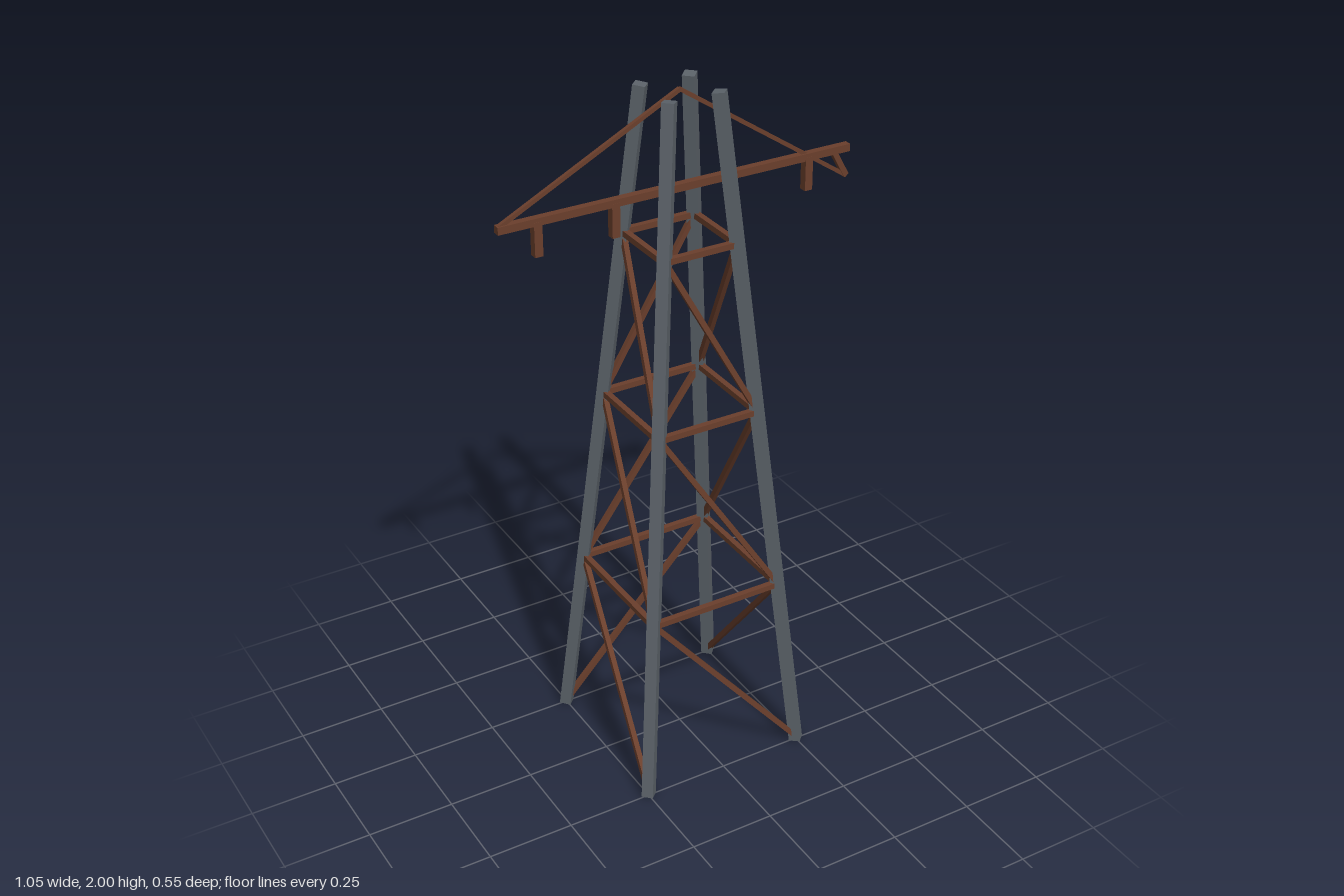
import * as THREE from 'three';

const steel = new THREE.MeshStandardMaterial({ color: 0x5c636a, flatShading: true });
const rust = new THREE.MeshStandardMaterial({ color: 0x6b3f2c, flatShading: true });

const V = (x, y, z) => new THREE.Vector3(x, y, z);

// Square beam between two points; one pair of sides faces the given direction.
function beam(name, a, b, width, material, facing, depth = width) {
  const mesh = new THREE.Mesh(new THREE.BoxGeometry(width, a.distanceTo(b), depth), material);
  const yAxis = b.clone().sub(a).normalize();
  const xAxis = yAxis.clone().cross(facing).normalize();
  const zAxis = xAxis.clone().cross(yAxis);
  mesh.quaternion.setFromRotationMatrix(new THREE.Matrix4().makeBasis(xAxis, yAxis, zAxis));
  mesh.position.copy(a).add(b).multiplyScalar(0.5);
  mesh.name = name;
  return mesh;
}

// Corners in order around the tower; the legs lean in towards the top.
const corners = [[-1, -1], [1, -1], [1, 1], [-1, 1]];
const legPoint = (i, y) => {
  const r = 0.25 - 0.089 * y;
  const [sx, sz] = corners[i % 4];
  return V(sx * r, y, sz * r);
};

export function createModel() {
  const model = new THREE.Group();
  model.name = 'latticeTower';

  const legs = new THREE.Group();
  legs.name = 'legs';
  const rings = new THREE.Group();
  rings.name = 'horizontalBars';
  const braces = new THREE.Group();
  braces.name = 'diagonalBraces';
  const levels = [0.01, 0.545, 1.097, 1.587];

  for (let i = 0; i < 4; i++) {
    const radial = V(corners[i][0], 0, corners[i][1]);
    legs.add(beam('leg', legPoint(i, 0.002), legPoint(i, 1.998), 0.033, steel, radial));

    // Each face has three bars and one diagonal per bay, winding round the tower
    const p = legPoint(i, 0), q = legPoint(i + 1, 0);
    const outward = p.add(q).normalize();
    for (let k = 1; k < levels.length; k++) {
      const end = legPoint(i + 1, levels[k]);
      rings.add(beam('horizontalBar', legPoint(i, levels[k]), end, 0.017, rust, outward));
      braces.add(beam('diagonalBrace', legPoint(i, levels[k - 1]), end, 0.015, rust, outward));
    }
  }
  model.add(legs, rings, braces);

  // Crossarm with its two stays from the apex
  const front = V(0, 0, 1);
  const apex = V(0, 1.994, 0);
  model.add(beam('crossarm', V(-0.522, 1.73, 0), V(0.522, 1.73, 0), 0.021, rust, front));
  model.add(beam('leftStay', apex, V(0.518, 1.648, 0), 0.011, rust, front));
  model.add(beam('rightStay', apex, V(-0.518, 1.735, 0), 0.011, rust, front));

  // Hangers under the arm, and the slanting one at the left tip
  for (const x of [-0.412, -0.192, 0.392]) {
    model.add(beam('hanger', V(x, 1.635, 0), V(x, 1.73, 0), 0.023, rust, front));
  }
  model.add(beam('tipStrut', V(0.472, 1.73, 0), V(0.516, 1.65, 0), 0.016, rust, front));

  return model;
}
